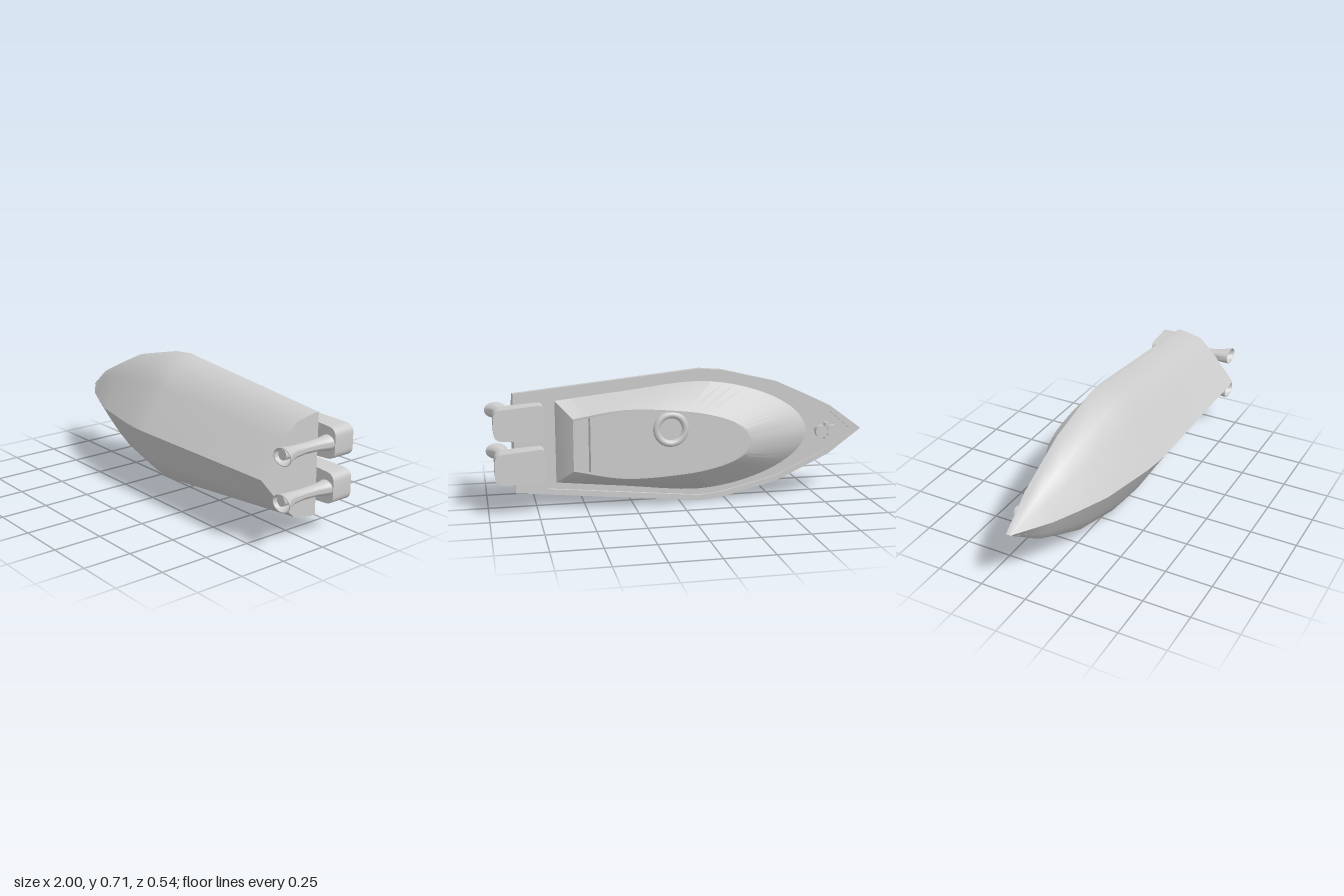
import * as THREE from 'three';
import { toCreasedNormals, mergeVertices } from 'three/addons/utils/BufferGeometryUtils.js';

const solid = new THREE.MeshStandardMaterial({ color: 0xcccccc });
const thin = new THREE.MeshStandardMaterial({ color: 0xcccccc, side: THREE.DoubleSide });
const V = (x, y, z) => new THREE.Vector3(x, y, z);

function add(parent, name, geometry, material = solid, x = 0, y = 0, z = 0) {
  const mesh = new THREE.Mesh(geometry, material);
  mesh.name = name;
  mesh.position.set(x, y, z);
  parent.add(mesh);
  return mesh;
}

// Skin between cross-sections of equal length, as closed loops or open strips
function loft(rings, crease = 0.6, closed = true) {
  const n = rings[0].length, index = [];
  for (let i = 0; i < rings.length - 1; i++) {
    for (let j = 0; j < (closed ? n : n - 1); j++) {
      const a = i * n + j, b = i * n + (j + 1) % n;
      index.push(a, a + n, b, b, a + n, b + n);
    }
  }
  const g = new THREE.BufferGeometry().setFromPoints(rings.flat());
  g.setIndex(index);
  return toCreasedNormals(mergeVertices(g), crease);
}

// Horizontal plane filled from points, and a mirrored loop at height y from half points [x, z]
const flat = (g, y) => g.rotateX(Math.PI / 2).translate(0, y, 0);
const plate = (points, y) => flat(new THREE.ShapeGeometry(
  new THREE.Shape(points.map(p => new THREE.Vector2(p.x, p.z)))), y);
const mirrorLoop = (half, y) => [
  ...half.map(([x, z]) => V(x, y, z)), ...half.slice().reverse().map(([x, z]) => V(x, y, -z))];

// Hull stations: x, half width, keel height
const stations = [
  [-1, 0, 0.06], [-0.82, 0.133, -0.06], [-0.68, 0.2, -0.125], [-0.52, 0.273, -0.19],
  [-0.22, 0.345, -0.253], [-0.1, 0.355, -0.268], [-0.04, 0.349, -0.269], [0.86, 0.258, -0.27],
];
const DECK = 0.085, DECK_LOW = 0.072, FLOOR = -0.025;

// Half section from the deck edge down over the chine and bilge to the keel
function hullSection([x, w, keel], side) {
  const level = f => 0.055 + f * (keel - 0.055);
  return [V(x, DECK, w * side), V(x, 0.055, w * side), V(x, level(0.34), w * side * 0.91),
    V(x, level(0.6), w * side * 0.6), V(x, keel, 0)];
}

// Smooth U-shaped loop running stern, bow, stern
function uLoop(half, inset = 0, y = null) {
  const shrunk = half.map(([x, h, z], i) => V(
    x + (i === 0 ? -inset : inset * Math.max(0, 1 - z / 0.12)),
    y ?? h, Math.max(0, z - inset)));
  const other = shrunk.slice(0, -1).reverse().map(p => V(p.x, p.y, -p.z));
  return new THREE.CatmullRomCurve3([...shrunk, ...other], false, 'centripetal').getPoints(48);
}

function addMotor(parent, z) {
  const motor = new THREE.Group();
  motor.name = 'outboardMotor';
  motor.position.z = z;
  parent.add(motor);

  // Cowl: rounded plan narrowing aft, with a top sloping up toward the stern
  const s = new THREE.Shape();
  s.moveTo(0.74, -0.091);
  s.lineTo(0.92, -0.079);
  s.quadraticCurveTo(0.965, -0.075, 0.965, -0.035);
  s.lineTo(0.965, 0.035);
  s.quadraticCurveTo(0.965, 0.075, 0.92, 0.079);
  s.lineTo(0.74, 0.091);
  s.quadraticCurveTo(0.71, 0.092, 0.71, 0.062);
  s.lineTo(0.71, -0.062);
  s.quadraticCurveTo(0.71, -0.092, 0.74, -0.091);
  const cowl = flat(new THREE.ExtrudeGeometry(s, { depth: 0.092, bevelEnabled: false, curveSegments: 6 }), 0.185);
  const p = cowl.attributes.position;
  for (let i = 0; i < p.count; i++) {
    if (p.getY(i) > 0.15) p.setY(i, 0.183 + (p.getX(i) - 0.71) * 0.115);
  }
  add(motor, 'motorCowl', toCreasedNormals(cowl, 0.6));

  // Waisted leg ending in an open flared outlet: height, centre x, radius x, radius z
  const sections = [
    [0.102, 0.917, 0.048, 0.04], [0.07, 0.916, 0.04, 0.034], [0.02, 0.913, 0.031, 0.029],
    [-0.06, 0.911, 0.028, 0.027], [-0.13, 0.915, 0.033, 0.031], [-0.18, 0.926, 0.046, 0.038],
    [-0.217, 0.939, 0.058, 0.043], [-0.217, 0.939, 0.054, 0.039], [-0.16, 0.924, 0.034, 0.03],
    [-0.12, 0.914, 0, 0],
  ];
  const rings = sections.map(([y, cx, rx, rz]) => Array.from({ length: 24 }, (_, i) => {
    const a = i / 24 * Math.PI * 2;
    return V(cx + rx * Math.cos(a), y, rz * Math.sin(a));
  }));
  add(motor, 'motorLeg', loft(rings, 0.8), thin);
  add(motor, 'outletHub', new THREE.CylinderGeometry(0.027, 0.027, 0.07, 20), solid, 0.912, -0.158, 0);
}

export function createModel() {
  const model = new THREE.Group();
  model.name = 'speedboat';
  // The boat is built upright, then laid with its deck facing backward
  const boat = new THREE.Group();
  boat.name = 'boat';
  boat.rotation.x = -Math.PI / 2;
  boat.position.y = 0.356;
  model.add(boat);

  // Hull sides meeting at a sharp keel, and the transom
  for (const side of [1, -1]) {
    add(boat, 'hullSide', loft(stations.map(s => hullSection(s, side)), 1, false), thin);
  }
  const stern = stations.at(-1);
  const sternLoop = [...hullSection(stern, 1), ...hullSection(stern, -1).slice(0, -1).reverse()];
  const transom = new THREE.Shape(sternLoop.map(p => new THREE.Vector2(-p.z, p.y)));
  add(boat, 'transom', new THREE.ShapeGeometry(transom).rotateY(Math.PI / 2).translate(0.86, 0, 0), thin);

  // Cabin base and rim half outlines: x, height, z
  const base = [[0.65, DECK, 0.213], [0.3, DECK, 0.25], [-0.1, DECK, 0.288], [-0.35, DECK, 0.25],
    [-0.55, DECK, 0.17], [-0.655, DECK, 0.085], [-0.69, DECK, 0]];
  const rim = [[0.57, 0.18, 0.135], [0.32, 0.215, 0.178], [0.05, 0.238, 0.168], [-0.12, 0.252, 0.143],
    [-0.25, 0.262, 0.1], [-0.32, 0.268, 0.05], [-0.34, 0.27, 0]];

  // Raised gunwale with a broad stern ledge, and the lower deck inside it
  const edge = stations.map(([x, w]) => [x, w]);
  const inner = [[-0.94, 0], ...edge.slice(1, -1).map(([x, w]) => [x, w - 0.03]), [0.7, 0.245]];
  add(boat, 'gunwale', loft([mirrorLoop(edge, DECK), mirrorLoop(inner, DECK), mirrorLoop(inner, DECK_LOW)]), thin);
  const cabinHalf = uLoop(base).slice(0, 25);
  for (const s of [1, -1]) {
    const half = [...inner.map(([x, z]) => V(x, 0, z * s)), V(0.7, 0, 0), V(0.65, 0, 0),
      ...cabinHalf.map(p => V(p.x, 0, p.z * s))];
    add(boat, 'deck', plate(half, DECK_LOW), thin);
  }

  // Cabin shell: outer wall, rim lip, inner wall down to the floor
  const shell = [uLoop(base, 0, DECK_LOW), uLoop(base), uLoop(rim), uLoop(rim, 0.01),
    uLoop(base, 0.016), uLoop(base, 0.02, FLOOR)];
  add(boat, 'cabinShell', loft(shell, 0.7), thin);
  add(boat, 'cockpitFloor', plate(uLoop(base, 0.02), FLOOR), thin);

  // Bench seat and steering wheel
  add(boat, 'benchSeat', new THREE.BoxGeometry(0.175, 0.08, 0.43), solid, 0.38, FLOOR + 0.04, 0);
  add(boat, 'steeringWheel', new THREE.TorusGeometry(0.078, 0.019, 12, 36).rotateX(Math.PI / 2), solid, 0.03, -0.005, 0.02);

  // Mooring bitts on the foredeck
  const bitts = new THREE.Group();
  bitts.name = 'mooringBitts';
  bitts.position.set(-0.795, 0, 0);
  boat.add(bitts);
  for (const x of [-0.032, 0.032]) {
    add(bitts, 'bittPost', new THREE.CylinderGeometry(0.022, 0.022, 0.05, 20), solid, x, 0.095, 0);
    add(bitts, 'bittCap', new THREE.CylinderGeometry(0.033, 0.033, 0.026, 24), solid, x, 0.122, 0);
  }
  add(bitts, 'bittCrossbar', new THREE.CylinderGeometry(0.012, 0.012, 0.09, 16).rotateX(Math.PI / 2), solid, 0, 0.104, 0);

  for (const side of [-1, 1]) addMotor(boat, side * 0.112 + 0.009);
  return model;
}
